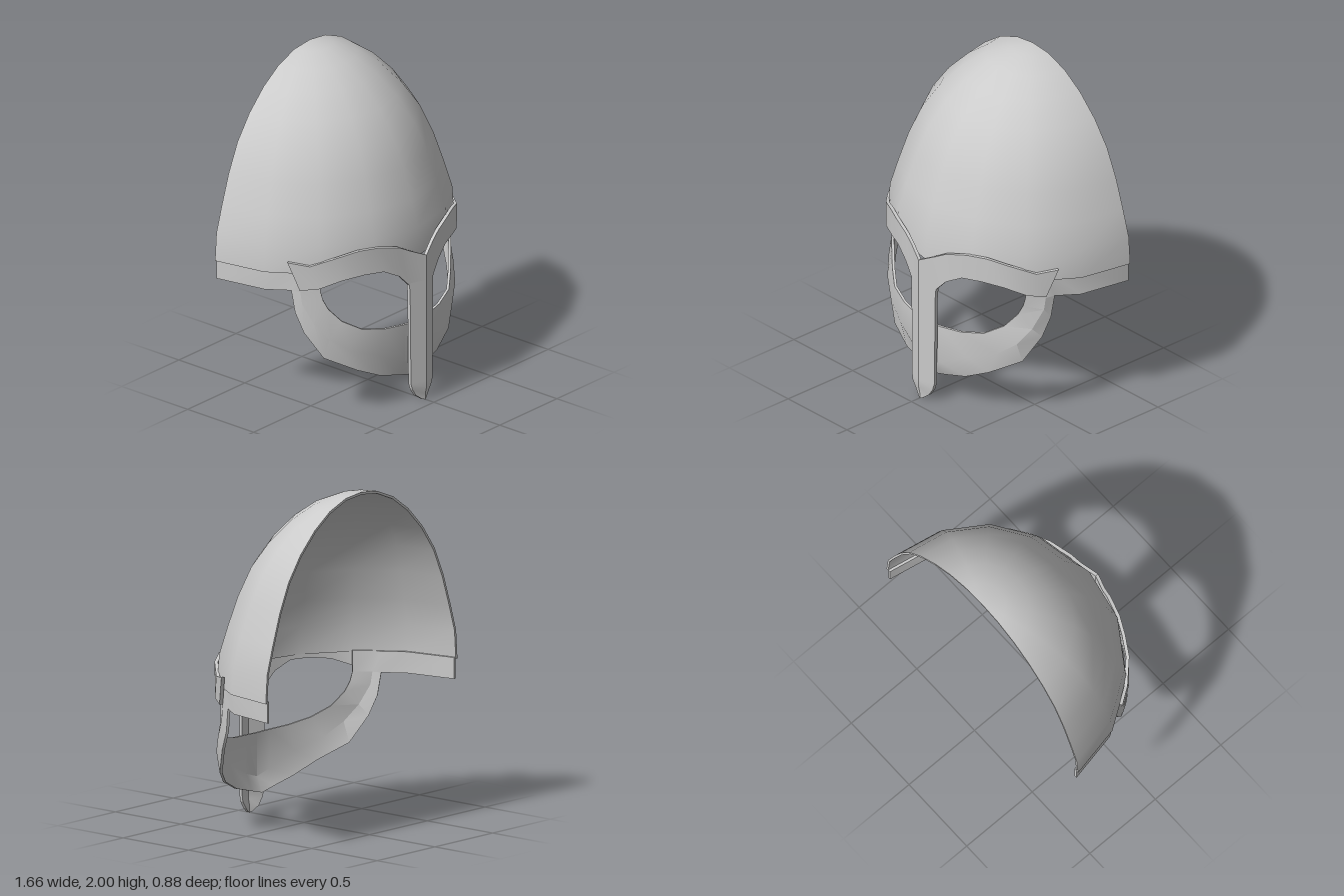
import * as THREE from 'three';
import { toCreasedNormals } from 'three/addons/utils/BufferGeometryUtils.js';

const AXIS_Z = -0.44; // the upright axis of the bowl, on the open rear plane
const material = new THREE.MeshStandardMaterial({ color: 0xcccccc, side: THREE.DoubleSide });

// Solid plate: each row is a line of outer points, backed by inner points from `inset`.
function plate(name, rows, inset, crease = 0.6) {
  const n = rows[0].length;
  const loops = rows.map(row => [...row, ...row.map(inset).reverse()]);
  const m = 2 * n;
  const positions = loops.flat(2);
  const index = [];
  const quad = (a, b, c, d) => index.push(a, b, c, a, c, d);
  for (let i = 0; i < loops.length - 1; i++) {
    for (let j = 0; j < m; j++) {
      const k = (j + 1) % m;
      quad(i * m + j, i * m + k, (i + 1) * m + k, (i + 1) * m + j);
    }
  }
  // End caps
  const last = (loops.length - 1) * m;
  for (let j = 0; j < n - 1; j++) {
    quad(j, m - 1 - j, m - 2 - j, j + 1);
    quad(last + j, last + j + 1, last + m - 2 - j, last + m - 1 - j);
  }
  const geometry = new THREE.BufferGeometry();
  geometry.setAttribute('position', new THREE.Float32BufferAttribute(positions, 3));
  geometry.setIndex(index);
  const mesh = new THREE.Mesh(toCreasedNormals(geometry, crease), material);
  mesh.name = name;
  return mesh;
}

// Rows run from the centre to +x; adds their mirror images on -x.
function mirrored(rows) {
  const other = rows.slice(1).reverse().map(row => row.map(([x, y, z]) => [-x, y, z]));
  return [...other, ...rows];
}

// Moves a point towards the upright axis.
const inward = t => ([x, y, z]) => {
  const s = 1 - t / Math.hypot(x, z - AXIS_Z);
  return [x * s, y, AXIS_Z + (z - AXIS_Z) * s];
};

export function createModel() {
  const group = new THREE.Group();

  // Half bowl, open at the rear
  const profile = [
    [0.83, 0.89], [0.818, 1.06], [0.77, 1.22], [0.71, 1.4], [0.633, 1.57],
    [0.53, 1.715], [0.405, 1.84], [0.275, 1.93], [0.135, 1.985], [0, 2],
  ];
  const bowlRows = [];
  for (let i = 0; i <= 8; i++) {
    const a = (i / 8 - 0.5) * Math.PI;
    bowlRows.push(profile.map(([r, y]) => [r * Math.sin(a), y, AXIS_Z + r * Math.cos(a)]));
  }
  const shrink = ([x, y, z]) => [x * 0.983, 0.89 + (y - 0.89) * 0.987, AXIS_Z + (z - AXIS_Z) * 0.983];
  group.add(plate('bowl', bowlRows, shrink));

  // Side bands below the bowl rim, ending at the eye openings
  const bandPath = [[0.815, -0.44], [0.753, -0.128], [0.665, -0.005], [0.65, 0.05], [0.57, 0.135]];
  for (const s of [1, -1]) {
    const rows = bandPath.map(([x, z]) => [[s * x, 0.775, z], [s * x, 0.9, z]]);
    group.add(plate(s > 0 ? 'leftBand' : 'rightBand', rows, inward(0.015)));
  }

  // Cheek guard sweeping under the eyes: eye edge, crease, lower edge
  const guardRows = [
    [[0, 0.475, 0.375], [0, 0.22, 0.375], [0, 0.13, 0.335]],
    [[0.1, 0.48, 0.365], [0.1, 0.25, 0.37], [0.1, 0.155, 0.33]],
    [[0.24, 0.49, 0.335], [0.28, 0.335, 0.325], [0.25, 0.195, 0.31]],
    [[0.38, 0.52, 0.285], [0.45, 0.4, 0.25], [0.4, 0.265, 0.265]],
    [[0.475, 0.58, 0.215], [0.55, 0.48, 0.185], [0.56, 0.36, 0.15]],
    [[0.535, 0.66, 0.165], [0.61, 0.58, 0.12], [0.635, 0.52, 0.065]],
    [[0.56, 0.72, 0.145], [0.645, 0.7, 0.06], [0.655, 0.64, 0.015]],
    [[0.57, 0.775, 0.135], [0.65, 0.775, 0.05], [0.665, 0.775, -0.005]],
  ];
  group.add(plate('cheekGuard', mirrored(guardRows), inward(0.015), 0.45));

  // Brow plate: top x, y, z then bottom x, y, z
  const browRows = [
    [[0, 0.905, 0.445], [0, 0.74, 0.445]],
    [[0.105, 0.955, 0.405], [0.105, 0.74, 0.405]],
    [[0.17, 0.99, 0.388], [0.17, 0.81, 0.388]],
    [[0.3, 1.02, 0.345], [0.27, 0.863, 0.355]],
    [[0.41, 1.02, 0.29], [0.385, 0.866, 0.305]],
    [[0.52, 0.995, 0.225], [0.5, 0.85, 0.24]],
    [[0.635, 0.945, 0.11], [0.6, 0.805, 0.15]],
    [[0.71, 0.965, 0.005], [0.665, 0.79, 0.06]],
  ];
  group.add(plate('browPlate', mirrored(browRows), inward(0.02), 0.3));

  // Ridged nose guard with a rounded tip: half width, height
  const nose = [[0.105, 0.75], [0.1, 0.68], [0.095, 0.12], [0.085, 0.08], [0.055, 0.035], [0.015, 0.004]];
  const noseRows = nose.map(([w, y]) => {
    const ridge = y < 0.05 ? 0.435 : 0.445;
    return [[-w, y, ridge - 0.38 * w], [0, y < 0.01 ? 0 : y, ridge], [w, y, ridge - 0.38 * w]];
  });
  group.add(plate('noseGuard', noseRows, ([x, y, z]) => [x, y, z - 0.02], 0.3));

  return group;
}
